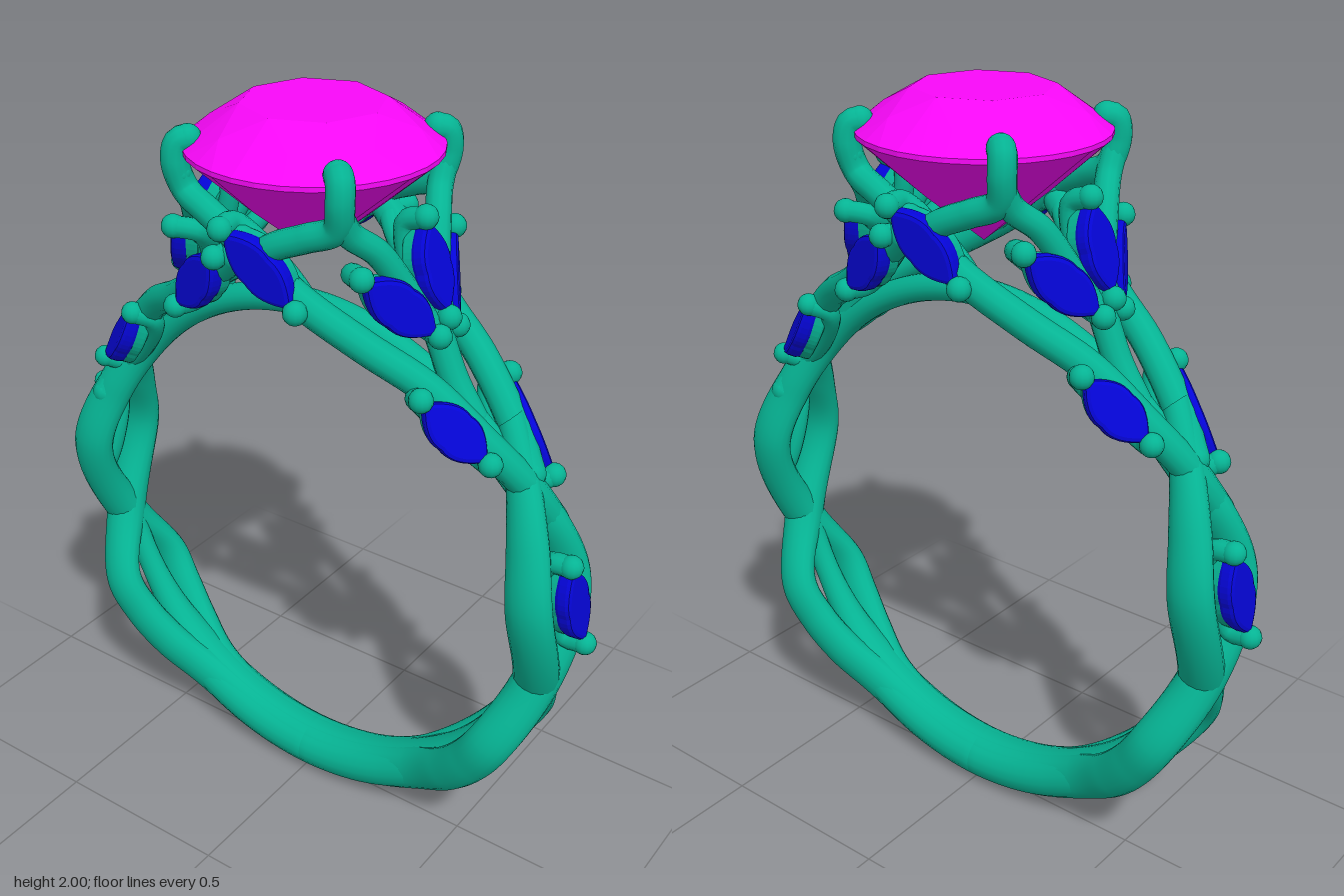
import * as THREE from 'three';
import { mergeVertices } from 'three/addons/utils/BufferGeometryUtils.js';
import { ConvexGeometry } from 'three/addons/geometries/ConvexGeometry.js';

const metal = new THREE.MeshStandardMaterial({ color: 0x06b494 });
const blue = new THREE.MeshStandardMaterial({ color: 0x0505d8 });
const pink = new THREE.MeshStandardMaterial({ color: 0xfa08fa });
const CENTER = 0.79; // height of the finger hole's centre
const V = (p) => new THREE.Vector3(...p);

function add(parent, name, geometry, material) {
  const mesh = new THREE.Mesh(geometry, material);
  mesh.name = name;
  parent.add(mesh);
  return mesh;
}

function ball(parent, name, p, r) {
  add(parent, name, new THREE.SphereGeometry(r, 14, 10), metal).position.copy(p);
}

// Round wire through points, with rounded ends
function wire(parent, name, points, r) {
  const pts = points.map((p) => (p.isVector3 ? p : V(p)));
  const curve = new THREE.CatmullRomCurve3(pts);
  add(parent, name, new THREE.TubeGeometry(curve, pts.length * 7, r, 12), metal);
  ball(parent, name + 'End', pts[0], r);
  ball(parent, name + 'End', pts[pts.length - 1], r);
}

// Oval band strand around the finger.
// Keys: [degrees from bottom, path radius, z, radial half-size, z half-size]
function strand(parent, name, keys) {
  const path = new THREE.CatmullRomCurve3(keys.map((k) => new THREE.Vector3(k[0] / 50, k[1], k[2])));
  const size = new THREE.CatmullRomCurve3(keys.map((k) => new THREE.Vector3(k[0] / 50, k[3], k[4])));
  const g = new THREE.CylinderGeometry(1, 1, 1, 18, keys.length * 10, true);
  const pos = g.attributes.position;
  for (let i = 0; i < pos.count; i++) {
    const u = THREE.MathUtils.clamp(pos.getY(i) + 0.5, 0, 1);
    const c = path.getPoint(u), s = size.getPoint(u);
    const t = THREE.MathUtils.degToRad(c.x * 50);
    const R = c.y + pos.getX(i) * s.y;
    pos.setXYZ(i, R * Math.sin(t), CENTER - R * Math.cos(t), c.z + pos.getZ(i) * s.z);
  }
  g.deleteAttribute('uv');
  g.deleteAttribute('normal');
  const merged = mergeVertices(g, 1e-5);
  merged.computeVertexNormals();
  add(parent, name, merged, metal);
}

// Pointed oval stone plate of given length and width, bevelled toward +z
function marquise(length, width, depth, bevel) {
  const s = new THREE.Shape();
  s.moveTo(-length / 2, 0);
  s.quadraticCurveTo(-length * 0.24, -width * 0.6, 0, -width / 2);
  s.quadraticCurveTo(length * 0.24, -width * 0.6, length / 2, 0);
  s.quadraticCurveTo(length * 0.24, width * 0.6, 0, width / 2);
  s.quadraticCurveTo(-length * 0.24, width * 0.6, -length / 2, 0);
  return new THREE.ExtrudeGeometry(s, {
    depth, bevelThickness: bevel, bevelSize: bevel, bevelOffset: -bevel, bevelSegments: 2, curveSegments: 8,
  });
}

// Leaf: stone between two bead prongs p and q, facing n
function leaf(parent, p, q, n) {
  const g = new THREE.Group();
  g.name = 'leaf';
  parent.add(g);
  const a = V(p), b = V(q);
  const x = b.clone().sub(a), len = x.length();
  x.normalize();
  const z = V(n);
  z.addScaledVector(x, -z.dot(x)).normalize();
  const y = z.clone().cross(x);
  const holder = new THREE.Group();
  holder.name = 'stoneSetting';
  holder.quaternion.setFromRotationMatrix(new THREE.Matrix4().makeBasis(x, y, z));
  holder.position.copy(a).add(b).multiplyScalar(0.5);
  g.add(holder);
  add(holder, 'leafStone', marquise(len * 0.92, 0.108, 0.02, 0.012), blue).position.z = -0.024;
  add(holder, 'leafSeat', marquise(len * 0.9, 0.1, 0.03, 0.008), metal).position.z = -0.055;
  // wire passing behind the stone with a bead on each end
  const back = (v, k) => v.clone().addScaledVector(z, -0.06).addScaledVector(x, k);
  wire(g, 'leafProng', [a, back(a, 0.008), back(b, -0.008), b], 0.027);
  ball(g, 'bead', a, 0.03);
  ball(g, 'bead', b, 0.03);
}

// Half of the ring on the +x side
function half() {
  const h = new THREE.Group();
  h.name = 'ringHalf';

  // solid base of the band, narrowing to an inner strip between the strands
  strand(h, 'bandBase', [
    [0, 0.723, 0, 0.069, 0.078], [22, 0.721, 0, 0.068, 0.077], [36, 0.717, 0, 0.065, 0.072],
    [48, 0.702, 0, 0.048, 0.046], [60, 0.694, 0, 0.038, 0.034], [74, 0.695, 0, 0.036, 0.033],
  ]);
  // two twisting band strands
  strand(h, 'bandStrandCenter', [
    [0, 0.723, 0.02, 0.066, 0.05], [30, 0.72, 0.026, 0.064, 0.05], [42, 0.72, 0.066, 0.063, 0.048],
    [52, 0.718, 0.093, 0.062, 0.046], [62, 0.717, 0.1, 0.062, 0.044], [77, 0.719, 0, 0.061, 0.06],
    [98, 0.717, -0.1, 0.063, 0.042], [114, 0.71, -0.055, 0.056, 0.044], [128, 0.698, -0.012, 0.043, 0.039],
    [150, 0.693, 0, 0.037, 0.038], [180, 0.693, 0, 0.037, 0.038],
  ]);
  strand(h, 'bandStrandOuter', [
    [0, 0.723, -0.02, 0.066, 0.05], [30, 0.72, -0.026, 0.064, 0.05], [42, 0.72, -0.066, 0.063, 0.048],
    [52, 0.718, -0.093, 0.062, 0.046], [62, 0.717, -0.1, 0.062, 0.044], [77, 0.715, 0, 0.061, 0.06],
    [98, 0.717, 0.1, 0.063, 0.042], [112, 0.722, 0.06, 0.056, 0.044], [126, 0.735, -0.015, 0.042, 0.04],
    [134, 0.75, -0.055, 0.036, 0.038],
  ]);

  // branches climbing to the front and back of the basket
  wire(h, 'frontBranch', [[0.67, 1.06, -0.07], [0.63, 1.17, -0.005], [0.54, 1.3, 0.07], [0.41, 1.42, 0.115],
    [0.26, 1.51, 0.168], [0.1, 1.61, 0.215], [-0.04, 1.72, 0.235]], 0.04);
  wire(h, 'backBranch', [[0.62, 1.2, -0.02], [0.55, 1.29, -0.06], [0.42, 1.42, -0.11], [0.3, 1.49, -0.16],
    [0.19, 1.57, -0.2], [0.06, 1.68, -0.23]], 0.04);
  wire(h, 'sideStem', [[0.47, 1.31, 0], [0.41, 1.4, 0], [0.365, 1.5, 0], [0.33, 1.58, 0]], 0.036);

  // forked corner prongs
  for (const s of [1, -1]) {
    wire(h, 'prong', [[0.212, 1.922, 0.205 * s], [0.228, 1.915, 0.22 * s], [0.234, 1.87, 0.228 * s],
      [0.215, 1.8, 0.215 * s], [0.14, 1.765, 0.225 * s], [0.06, 1.73, 0.235 * s], [-0.01, 1.68, 0.235 * s]], 0.034);
    wire(h, 'prongSideFork', [[0.228, 1.84, 0.223 * s], [0.235, 1.785, 0.19 * s], [0.27, 1.73, 0.13 * s],
      [0.31, 1.63, 0.07 * s], [0.355, 1.53, 0.025 * s]], 0.032);
    leaf(h, [0.275, 1.69, 0.2 * s], [0.39, 1.52, 0.04 * s], [0.85, 0.15, 0.55 * s]);
  }

  // remaining stones
  leaf(h, [0.315, 1.785, 0], [0.39, 1.555, 0], [1, 0.3, 0]);
  leaf(h, [-0.06, 1.76, 0.285], [0.13, 1.59, 0.255], [0.1, 0, 1]);
  leaf(h, [0.09, 1.68, -0.275], [0.25, 1.5, -0.235], [0.3, 0, -1]);
  leaf(h, [0.43, 1.425, 0.18], [0.58, 1.27, 0.105], [0.5, 0.5, 0.7]);
  leaf(h, [0.485, 1.38, -0.14], [0.655, 1.18, -0.08], [0.6, 0.45, -0.7]);
  leaf(h, [0.775, 1.02, 0.03], [0.805, 0.77, -0.03], [1, 0.08, 0]);
  return h;
}

// Round faceted main stone
function mainStone() {
  const pts = [new THREE.Vector3(0, 1.62, 0)];
  const loop = (n, r, y, turn) => {
    for (let i = 0; i < n; i++) {
      const a = ((i + turn) / n) * Math.PI * 2;
      pts.push(new THREE.Vector3(r * Math.cos(a), y, r * Math.sin(a)));
    }
  };
  loop(8, 0.175, 2.0, 0);
  loop(8, 0.252, 1.95, 0.5);
  loop(32, 0.312, 1.902, 0);
  loop(32, 0.312, 1.89, 0);
  loop(8, 0.16, 1.752, 0.5);
  return new ConvexGeometry(pts);
}

export function createModel() {
  const ring = new THREE.Group();
  ring.name = 'ring';
  const right = half(), left = half();
  left.rotation.y = Math.PI; // the design repeats after a half turn
  ring.add(right, left);
  add(ring, 'mainStone', mainStone(), pink);
  return ring;
}
